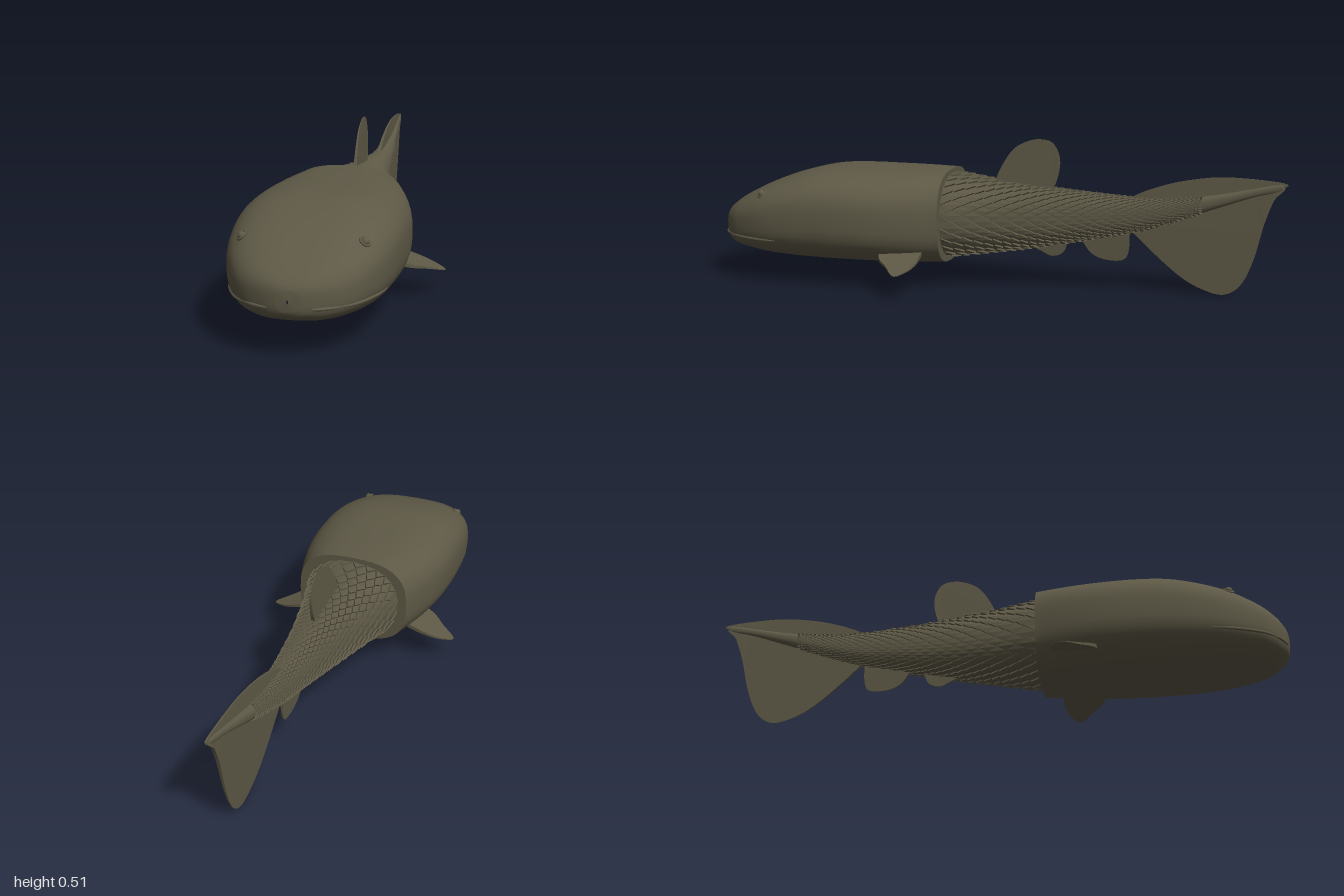
import * as THREE from 'three';
import { mergeGeometries } from 'three/addons/utils/BufferGeometryUtils.js';

// Cross-section stations: [z, half width, bottom y, top y]
const HEAD = [
  [1.0, 0.002, 0.175, 0.185], [0.996, 0.04, 0.145, 0.215], [0.98, 0.088, 0.126, 0.238], [0.95, 0.14, 0.111, 0.262],
  [0.9, 0.188, 0.1, 0.294], [0.8, 0.235, 0.086, 0.342], [0.7, 0.257, 0.079, 0.375], [0.6, 0.267, 0.076, 0.397],
  [0.5, 0.27, 0.075, 0.403], [0.38, 0.263, 0.075, 0.403], [0.26, 0.239, 0.076, 0.403], [0.15, 0.205, 0.078, 0.402],
];
const BODY = [
  [0.18, 0.178, 0.094, 0.385], [0.1, 0.155, 0.104, 0.376], [0, 0.126, 0.118, 0.362], [-0.2, 0.082, 0.148, 0.342],
  [-0.4, 0.052, 0.186, 0.328], [-0.5, 0.041, 0.206, 0.323], [-0.6, 0.033, 0.237, 0.325], [-0.7, 0.026, 0.272, 0.335],
  [-0.8, 0.019, 0.308, 0.352], [-0.9, 0.012, 0.343, 0.373], [-0.99, 0.007, 0.366, 0.39], [-1.0, 0.001, 0.375, 0.38],
];
const HEAD_POWER = 2.8, BODY_POWER = 2.3;

// Smooth station at a given z
function stationAt(table, z) {
  let k = 0;
  while (k < table.length - 2 && z < table[k + 1][0]) k++;
  const p = table[k], q = table[k + 1], o = table[Math.max(k - 1, 0)], r = table[Math.min(k + 2, table.length - 1)];
  const h = q[0] - p[0], t = (z - p[0]) / h;
  return [0, 1, 2, 3].map((c) => {
    if (c === 0) return z;
    const m0 = h * (q[c] - o[c]) / (q[0] - o[0]), m1 = h * (r[c] - p[c]) / (r[0] - p[0]);
    return (2 * t ** 3 - 3 * t * t + 1) * p[c] + (t ** 3 - 2 * t * t + t) * m0
      + (3 * t * t - 2 * t ** 3) * q[c] + (t ** 3 - t * t) * m1;
  });
}

// Point on a rounded-box section, optionally lifted off the surface
function sectionPoint([z, w, bottom, top], angle, power, lift = 0) {
  const c = Math.cos(angle), s = Math.sin(angle), e = 2 / power;
  return [
    Math.sign(c) * Math.abs(c) ** e * (w + lift),
    (bottom + top) / 2 + Math.sign(s) * Math.abs(s) ** e * ((top - bottom) / 2 + lift), z,
  ];
}

function loft(stations, power, sides = 56) {
  const pos = [], index = [];
  stations.forEach((st, i) => {
    for (let j = 0; j < sides; j++) {
      pos.push(...sectionPoint(st, (j / sides) * Math.PI * 2, power));
      if (i === stations.length - 1) continue;
      const a = i * sides + j, d = i * sides + (j + 1) % sides;
      index.push(a, a + sides, d + sides, a, d + sides, d);
    }
  });
  const g = new THREE.BufferGeometry();
  g.setAttribute('position', new THREE.Float32BufferAttribute(pos, 3));
  g.setIndex(index);
  g.computeVertexNormals();
  return g;
}

// Insert extra stations between the table's own
function refine(table, n) {
  const out = [];
  for (let k = 0; k < table.length - 1; k++)
    for (let i = 0; i < n; i++) out.push(stationAt(table, THREE.MathUtils.lerp(table[k][0], table[k + 1][0], i / n)));
  out.push(table[table.length - 1]);
  return out;
}

// Staggered rows of diamond scales, each raised at its rear tip
function scaleGeometry() {
  const pos = [], around = 26, half = Math.PI / around;
  let z = 0.15;
  for (let row = 0; z > -0.72; row++) {
    const st = stationAt(BODY, z), size = Math.max(0.014, 0.036 * Math.sqrt(st[1] / 0.16));
    const lift = 0.012 * Math.min(1, 0.25 + st[1] / 0.14);
    const at = (zz, a, l) => sectionPoint(stationAt(BODY, zz), a, BODY_POWER, l);
    for (let j = 0; j < around; j++) {
      const a = (j + (row % 2) / 2) * 2 * half;
      const front = at(Math.min(z + size, 0.16), a, 0.001), rear = at(z - size, a, lift), rearIn = at(z - size * 0.9, a, -0.002);
      const left = at(z, a + half, lift * 0.45), right = at(z, a - half, lift * 0.45);
      const leftIn = at(z, a + half, -0.002), rightIn = at(z, a - half, -0.002);
      pos.push(...front, ...rear, ...left, ...front, ...right, ...rear);
      pos.push(...left, ...rear, ...rearIn, ...left, ...rearIn, ...leftIn);
      pos.push(...rear, ...right, ...rightIn, ...rear, ...rightIn, ...rearIn);
    }
    z -= size;
  }
  const g = new THREE.BufferGeometry();
  g.setAttribute('position', new THREE.Float32BufferAttribute(pos, 3));
  g.computeVertexNormals();
  return g;
}

// Extruded outline, centred on its plane
function plate(points, thickness) {
  const curve = new THREE.SplineCurve(points.map(([a, b]) => new THREE.Vector2(a, b)));
  const shape = new THREE.Shape(curve.getPoints(points.length * 5));
  return new THREE.ExtrudeGeometry(shape, { depth: thickness, bevelEnabled: false }).translate(0, 0, -thickness / 2);
}

// Upright fin from [z, y] points, thinning from root to tip
function medianFin(points, rootY, tipY, thickness = 0.012) {
  const g = plate(points.map(([z, y]) => [-z, y]), thickness).rotateY(Math.PI / 2);
  const p = g.attributes.position;
  for (let i = 0; i < p.count; i++) {
    const t = THREE.MathUtils.clamp((p.getY(i) - rootY) / (tipY - rootY), 0, 1);
    p.setX(i, p.getX(i) * (1 - 0.8 * t));
  }
  g.computeVertexNormals();
  return g;
}

// Drooping side fin from [x, z] points
function pectoralFin(side) {
  const outline = [[0.17, 0.37], [0.25, 0.345], [0.3, 0.304], [0.356, 0.259], [0.325, 0.226], [0.28, 0.209], [0.23, 0.206], [0.17, 0.21]];
  const g = plate(outline.map(([x, z]) => [x * side, -z]), 0.014).rotateX(-Math.PI / 2);
  const p = g.attributes.position;
  for (let i = 0; i < p.count; i++) {
    const x = Math.abs(p.getX(i)), t = THREE.MathUtils.clamp((x - 0.22) / 0.136, 0, 1);
    p.setY(i, p.getY(i) * (1 - 0.85 * t) + 0.12 - (x - 0.235) * 0.29);
  }
  g.computeVertexNormals();
  return g;
}

// Spindle-shaped lip following the head between two z positions
function lip(side, zFrom, zTo) {
  const pts = [], y = 0.157;
  for (let i = 0; i <= 10; i++) {
    const z = THREE.MathUtils.lerp(zFrom, zTo, i / 10), [, w, b, t] = stationAt(HEAD, z);
    const v = Math.min(1, Math.abs(y - (b + t) / 2) / ((t - b) / 2));
    pts.push(new THREE.Vector3(side * w * (1 - v ** HEAD_POWER) ** (1 / HEAD_POWER), y, z));
  }
  const curve = new THREE.CatmullRomCurve3(pts), rings = 24, sides = 8;
  const g = new THREE.TubeGeometry(curve, rings, 0.0055, sides), p = g.attributes.position, v = new THREE.Vector3();
  for (let i = 0; i < p.count; i++) {
    const t = Math.floor(i / (sides + 1)) / rings, c = curve.getPointAt(t);
    v.fromBufferAttribute(p, i).sub(c).multiplyScalar(0.2 + 0.8 * Math.sqrt(Math.sin(Math.PI * t) + 1e-9)).add(c);
    p.setXYZ(i, v.x, v.y, v.z);
  }
  g.computeVertexNormals();
  return g;
}

export function createModel() {
  const model = new THREE.Group();
  const skin = new THREE.MeshStandardMaterial({ color: 0x5e5946 });
  skin.name = 'olive skin';
  const add = (name, geometry, parent = model) => {
    const mesh = new THREE.Mesh(geometry, skin);
    mesh.name = name;
    parent.add(mesh);
    return mesh;
  };

  // Smooth head shield with a closed rear rim
  add('headShield', loft(refine(HEAD, 4), HEAD_POWER));
  const rim = HEAD[HEAD.length - 1];
  add('headShieldRear', loft([rim, [rim[0], 0.001, 0.239, 0.241]], HEAD_POWER));

  // Tapering body and its scales
  add('body', loft(refine(BODY, 4), BODY_POWER, 40));
  add('scales', scaleGeometry());

  // Fins along the middle
  add('dorsalFin', medianFin([[0.01, 0.33], [-0.005, 0.365], [-0.03, 0.42], [-0.07, 0.478], [-0.12, 0.507], [-0.17, 0.515],
    [-0.212, 0.5], [-0.235, 0.445], [-0.225, 0.375], [-0.2, 0.32]], 0.36, 0.515));
  add('pelvicFin', medianFin([[-0.11, 0.17], [-0.13, 0.142], [-0.17, 0.122], [-0.21, 0.105], [-0.25, 0.12], [-0.262, 0.16], [-0.24, 0.19]], 0.16, 0.1));
  add('analFin', medianFin([[-0.29, 0.2], [-0.315, 0.168], [-0.35, 0.122], [-0.4, 0.102], [-0.46, 0.104], [-0.48, 0.14], [-0.48, 0.23]], 0.19, 0.1));
  add('tailUpperLobe', medianFin([[-0.47, 0.3], [-0.5, 0.333], [-0.62, 0.378], [-0.75, 0.403], [-0.86, 0.406], [-0.995, 0.394],
    [-0.985, 0.375], [-0.8, 0.33], [-0.6, 0.285]], 0.34, 0.42));
  add('tailLowerLobe', medianFin([[-0.46, 0.24], [-0.49, 0.208], [-0.56, 0.14], [-0.66, 0.056], [-0.74, 0.014], [-0.81, 0.002],
    [-0.865, 0.04], [-0.905, 0.13], [-0.935, 0.25], [-0.965, 0.335], [-0.99, 0.375], [-0.8, 0.33], [-0.6, 0.28]], 0.26, 0.01));

  // Paired fins, lips and eyes
  for (const side of [1, -1]) {
    const label = side > 0 ? 'left' : 'right';
    add(label + 'PectoralFin', pectoralFin(side));
    add(label + 'Mouth', mergeGeometries([lip(side, 0.988, 0.945), lip(side, 0.947, 0.73)]));

    const eye = new THREE.Group();
    eye.name = label + 'Eye';
    eye.position.set(side * 0.186, 0.314, 0.8);
    eye.lookAt(side * 0.186 + side * 0.6, 0.314 + 0.75, 0.8 + 0.3);
    add('eyeball', new THREE.SphereGeometry(0.013, 20, 12), eye);
    add('eyeRim', new THREE.TorusGeometry(0.016, 0.004, 8, 24), eye);
    model.add(eye);
  }
  return model;
}
